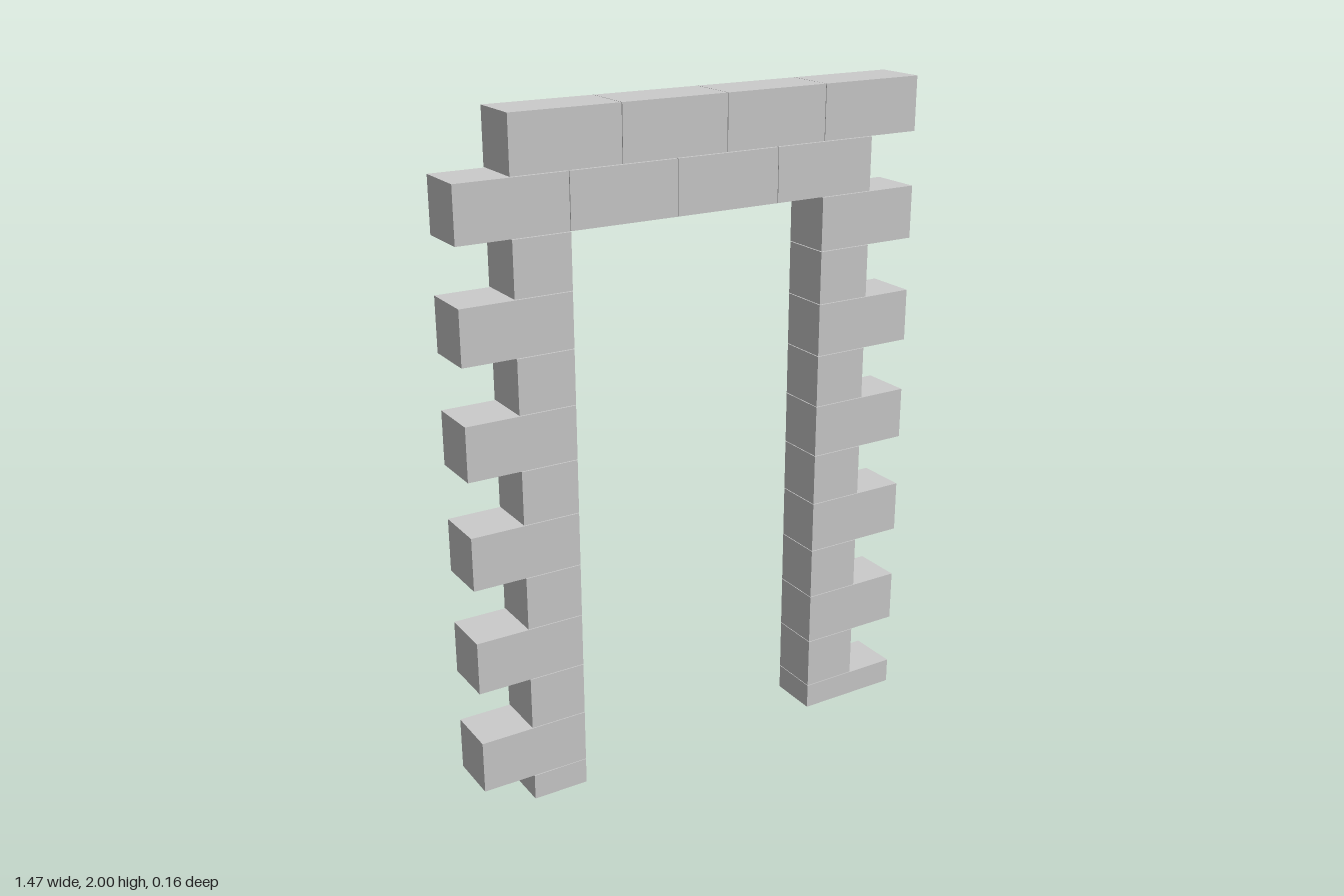
import * as THREE from 'three';

const DEPTH = 0.156;
const PITCH = 0.16;    // course height including joint
const JOINT = 0.002;
const LENGTH = 0.328;  // full brick including joint
const OUTER = 0.735, STEP = 0.577, INNER = 0.407;

export function createModel() {
  const group = new THREE.Group();
  group.name = 'brickDoorSurround';
  const material = new THREE.MeshStandardMaterial({ color: 0xcccccc, flatShading: true });

  // One brick spanning x0..x1 and y0..y1
  function brick(name, x0, x1, y0, y1) {
    const mesh = new THREE.Mesh(new THREE.BoxGeometry(x1 - x0, y1 - y0, DEPTH), material);
    mesh.position.set((x0 + x1) / 2, (y0 + y1) / 2, 0);
    mesh.name = name;
    group.add(mesh);
  }

  // Jambs: long and short bricks alternate, opposite on each side; the lowest course is cut in half
  for (let row = 0; row <= 10; row++) {
    const y1 = 0.08 + row * PITCH - JOINT;
    const y0 = Math.max(0, y1 - PITCH + JOINT);
    const leftLong = row % 2 === 0;
    brick('leftJambBrick', INNER, leftLong ? OUTER : STEP, y0, y1);
    brick('rightJambBrick', leftLong ? -STEP : -OUTER, -INNER, y0, y1);
  }

  // Lintel: two courses of four bricks, staggered by half a brick
  [-OUTER, -STEP].forEach((start, course) => {
    const y0 = 1.68 + course * PITCH;
    const y1 = course === 1 ? 2 : y0 + PITCH - JOINT;
    for (let i = 0; i < 4; i++) {
      const x0 = start + i * LENGTH;
      brick('lintelBrick', x0, x0 + LENGTH - JOINT, y0, y1);
    }
  });

  return group;
}
